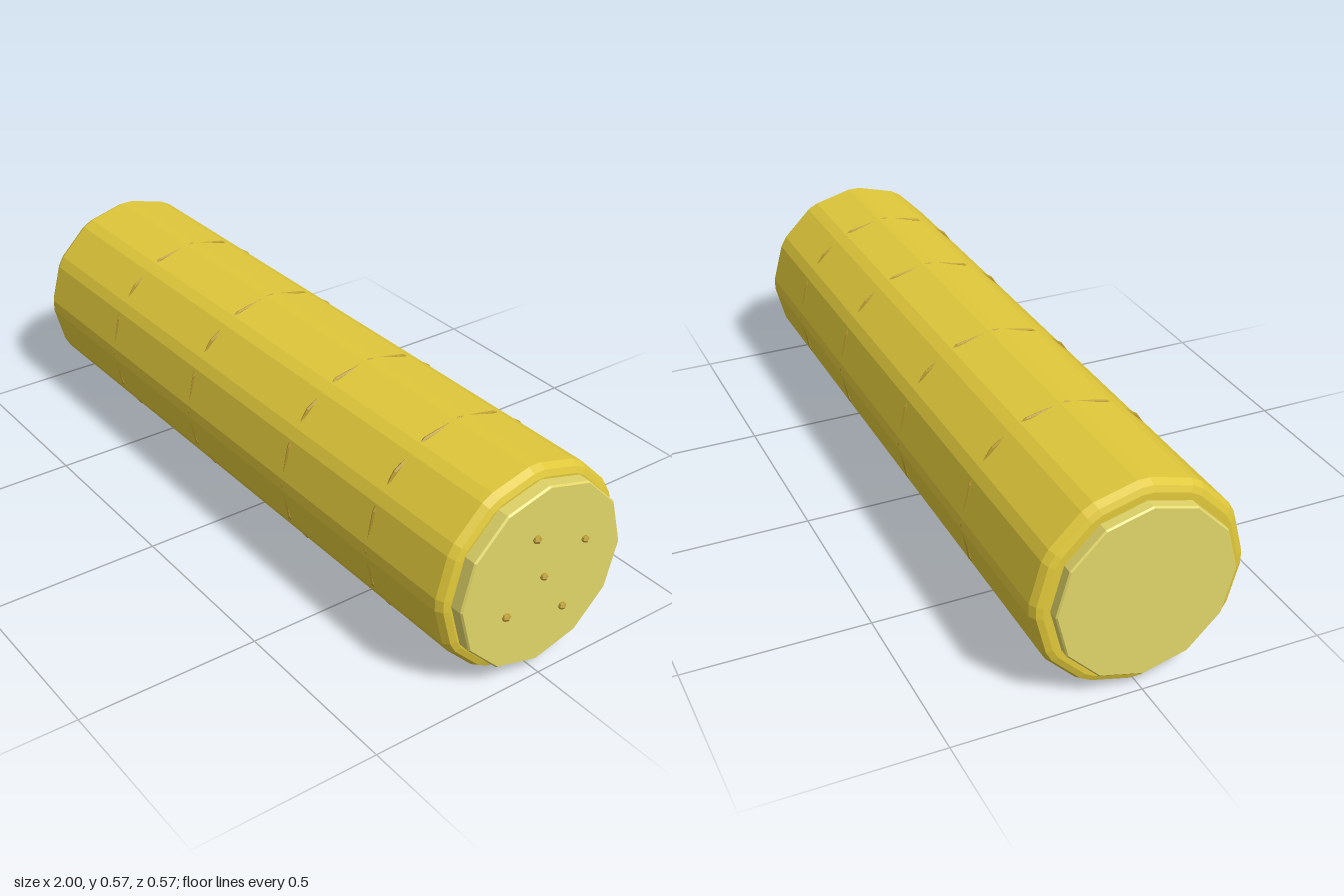
import * as THREE from 'three';

const CENTRE_Y = 0.283;
const paint = (color) => new THREE.MeshStandardMaterial({ color, flatShading: true });

// Solid of revolution about the x axis; profile points are [radius, x] from -x to +x
function turned(name, profile, sides, material) {
  const points = profile.map(([r, x]) => new THREE.Vector2(r, x));
  const geometry = new THREE.LatheGeometry(points, sides);
  geometry.rotateZ(-Math.PI / 2);
  const mesh = new THREE.Mesh(geometry, material);
  mesh.name = name;
  return mesh;
}

// Pull the 24 rows together in pairs: a 12-sided roll with narrow softened corners
function softenCorners(geometry, halfAngle) {
  const p = geometry.attributes.position;
  const step = Math.PI / 12;
  for (let i = 0; i < p.count; i++) {
    const r = Math.hypot(p.getY(i), p.getZ(i));
    const row = Math.round(Math.atan2(p.getZ(i), p.getY(i)) / step + 24) % 24;
    const a = Math.floor(row / 2) * step * 2 + (row % 2 ? halfAngle : -halfAngle);
    p.setY(i, r * Math.cos(a));
    p.setZ(i, r * Math.sin(a));
  }
  geometry.computeVertexNormals();
}

export function createModel() {
  const model = new THREE.Group();
  model.name = 'roll';
  const bodyPaint = paint(0xe0c83a);
  const capPaint = paint(0xe0d468);
  const bandPaint = paint(0xb89a30);

  // Main roll with rounded-over ends
  const body = turned('body', [
    [0, -0.97], [0.255, -0.97], [0.271, -0.964], [0.281, -0.945],
    [0.281, 0.925], [0.271, 0.944], [0.255, 0.95], [0, 0.95],
  ], 24, bodyPaint);
  softenCorners(body.geometry, 0.06);
  model.add(body);

  // End discs with a fine bevel on the rim
  model.add(turned('rightEndDisc', [
    [0, -1], [0.234, -1], [0.238, -0.996], [0.238, -0.96], [0, -0.96],
  ], 12, capPaint));
  model.add(turned('leftEndDisc', [
    [0, 0.94], [0.253, 0.94], [0.253, 0.981], [0.249, 0.986], [0, 0.986],
  ], 12, capPaint));

  // Tie bands
  for (const x of [-0.565, -0.148, 0.307, 0.663]) {
    const band = new THREE.Mesh(new THREE.TorusGeometry(0.277, 0.006, 6, 16), bandPaint);
    band.name = 'band';
    band.rotation.y = Math.PI / 2;
    band.position.x = x;
    model.add(band);
  }

  // Small studs on the left end disc: [y, z, radius]
  const studs = [
    [0.12, 0.033, 0.013], [0.057, -0.127, 0.011], [0, 0, 0.011],
    [-0.071, 0.112, 0.013], [-0.118, -0.072, 0.012],
  ];
  for (const [y, z, r] of studs) {
    const stud = new THREE.Mesh(new THREE.SphereGeometry(r, 6, 4), bandPaint);
    stud.name = 'stud';
    stud.scale.y = 0.8;
    stud.position.set(1 - r, y, z);
    model.add(stud);
  }

  model.position.y = CENTRE_Y;
  const root = new THREE.Group();
  root.add(model);
  return root;
}
